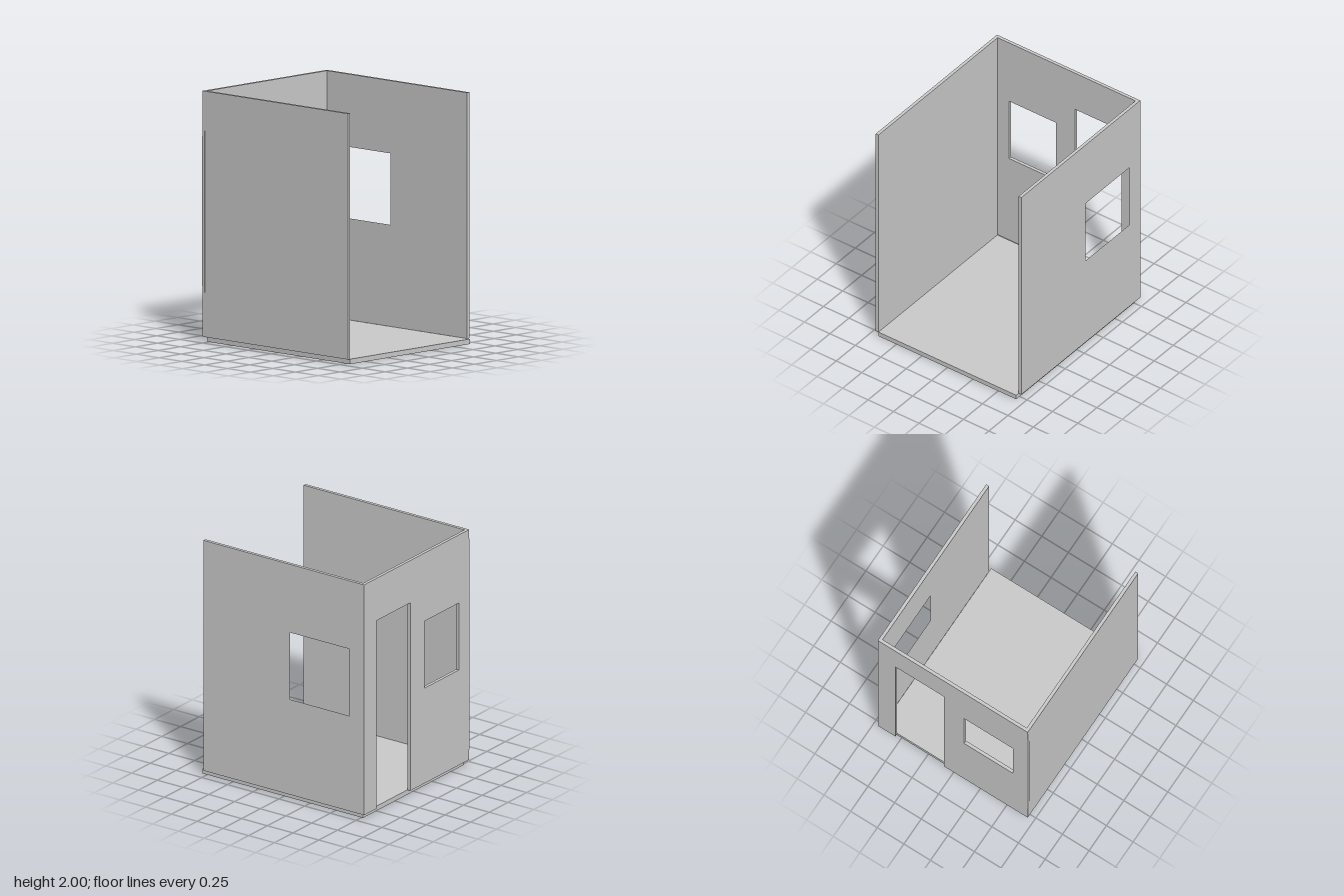
import * as THREE from 'three';

const material = new THREE.MeshStandardMaterial({ color: 0xcccccc, flatShading: true });
const THICK = 0.027, BASE = 0.04, TOP = 2;

const rect = (x0, y0, x1, y1) => [[x0, y0], [x0, y1], [x1, y1], [x1, y0]];
const toPoints = (list) => list.map(([x, y]) => new THREE.Vector2(x, y));

// Flat panel drawn in x/y, with openings cut through it
function panel(name, outline, holes = []) {
  const shape = new THREE.Shape(toPoints(outline));
  holes.forEach((h) => shape.holes.push(new THREE.Path(toPoints(h))));
  const mesh = new THREE.Mesh(
    new THREE.ExtrudeGeometry(shape, { depth: THICK, bevelEnabled: false }), material);
  mesh.name = name;
  return mesh;
}

// Panel turned to run along z; its drawn x becomes -z, its thickness grows towards +x
function sidePanel(name, x, outline, holes) {
  const mesh = panel(name, outline, holes);
  mesh.rotation.y = Math.PI / 2;
  mesh.position.x = x;
  return mesh;
}

export function createModel() {
  const group = new THREE.Group();
  group.name = 'room';

  // Floor slab, slightly inset under the walls
  const floor = new THREE.Mesh(new THREE.BoxGeometry(1.355, BASE, 1.56), material);
  floor.name = 'floor';
  floor.position.set(0, BASE / 2, 0.015);
  group.add(floor);

  // Back wall: doorway notched into the bottom edge, one window, faintly bowed right end
  const back = panel('backWall', [
    [-0.703, BASE], [0.085, BASE], [0.085, 1.64], [0.54, 1.64], [0.54, BASE], [0.705, BASE],
    [0.705, TOP], [-0.703, TOP], [-0.707, 1.5], [-0.707, 0.6],
  ], [rect(-0.565, 0.85, -0.105, 1.42)]);
  back.position.z = -0.795;
  group.add(back);

  // Plain side wall, reaching the front edge of the floor
  group.add(sidePanel('rightWall', -0.703, rect(-0.795, BASE, 0.768, TOP)));

  // Side wall with window, stopping short of the front edge
  const wx = 0.705 - THICK;
  group.add(sidePanel('leftWall', wx, rect(-0.765, BASE, 0.768, TOP),
    [rect(0.075, 0.85, 0.655, 1.48)]));

  // Lintel filling the top of that window, flush with the wall
  group.add(sidePanel('windowLintel', wx, rect(0.075, 1.42, 0.655, 1.48)));

  return group;
}
